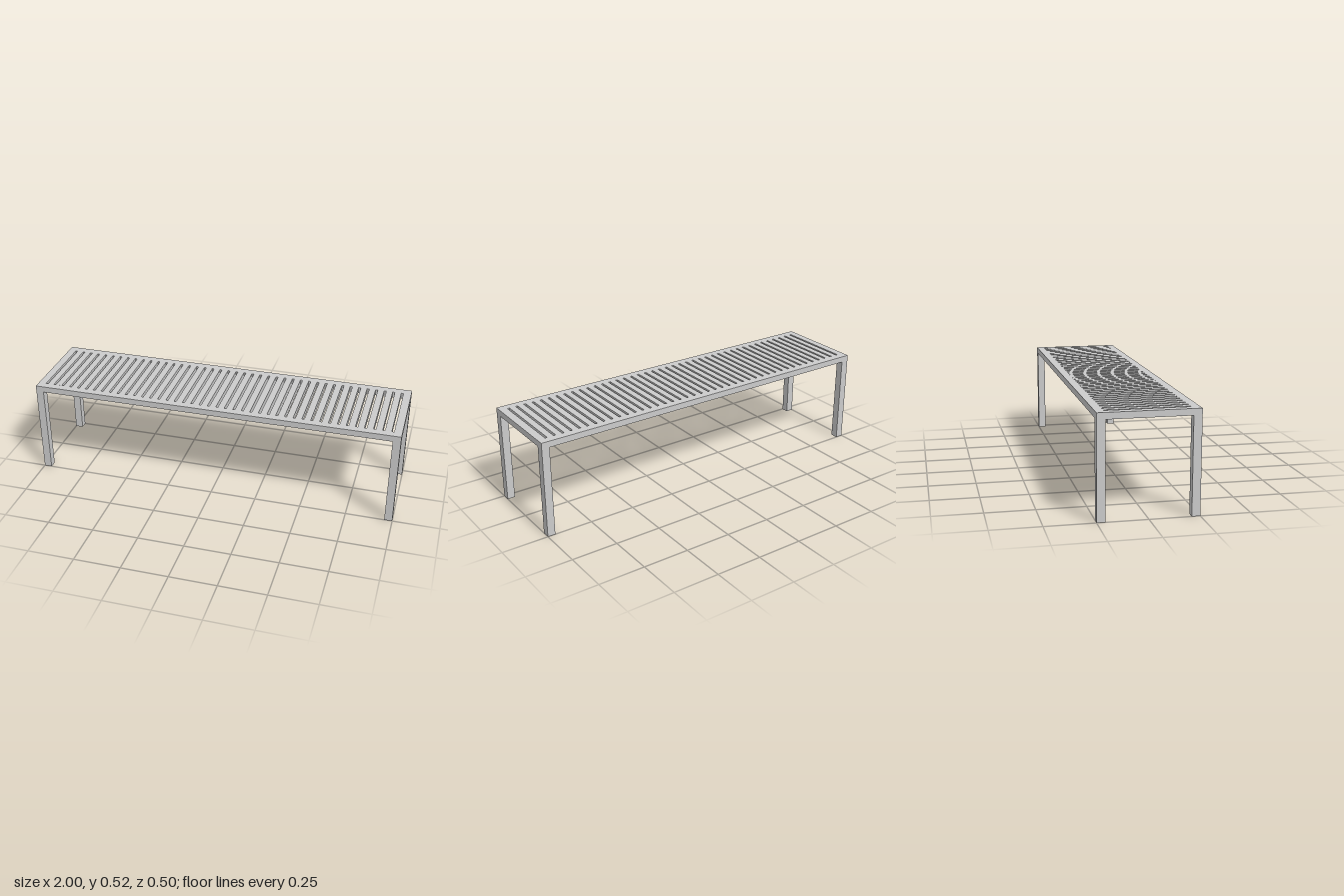
import * as THREE from 'three';

const LENGTH = 2, DEPTH = 0.5, HEIGHT = 0.522;
const BAR = 0.042;        // width of legs and frame bars
const THICK = 0.033;      // thickness of the top
const SLATS = 41, GAP = 0.0118;

export function createModel() {
  const bench = new THREE.Group();
  bench.name = 'slattedBench';
  const material = new THREE.MeshStandardMaterial({ color: 0xcccccc });

  const add = (geometry, name, x, y, z) => {
    const mesh = new THREE.Mesh(geometry, material);
    mesh.name = name;
    mesh.position.set(x, y, z);
    bench.add(mesh);
  };

  // Closed rectangle centred on the origin
  const rectangle = (PathType, w, h) => new PathType([
    new THREE.Vector2(-w / 2, -h / 2), new THREE.Vector2(w / 2, -h / 2),
    new THREE.Vector2(w / 2, h / 2), new THREE.Vector2(-w / 2, h / 2),
  ]);

  // Rectangular top frame
  const innerLength = LENGTH - 2 * BAR, innerDepth = DEPTH - 2 * BAR;
  const outline = rectangle(THREE.Shape, LENGTH, DEPTH);
  outline.holes.push(rectangle(THREE.Path, innerLength, innerDepth));
  const frame = new THREE.ExtrudeGeometry(outline, { depth: THICK, bevelEnabled: false });
  frame.rotateX(-Math.PI / 2);
  add(frame, 'topFrame', 0, HEIGHT - THICK, 0);

  // Cross slats, evenly spaced with a gap at both ends
  const slatWidth = (innerLength - (SLATS + 1) * GAP) / SLATS;
  const slat = new THREE.BoxGeometry(slatWidth, THICK, innerDepth);
  for (let i = 0; i < SLATS; i++) {
    const x = (i - (SLATS - 1) / 2) * (slatWidth + GAP);
    add(slat, `slat${i + 1}`, x, HEIGHT - THICK / 2, 0);
  }

  // Four square corner legs
  const legHeight = HEIGHT - THICK;
  const leg = new THREE.BoxGeometry(BAR, legHeight, BAR);
  for (const [sx, side] of [[1, 'Left'], [-1, 'Right']]) {
    for (const [sz, end] of [[1, 'front'], [-1, 'back']]) {
      add(leg, `${end}${side}Leg`, sx * (LENGTH - BAR) / 2, legHeight / 2, sz * (DEPTH - BAR) / 2);
    }
  }
  return bench;
}
